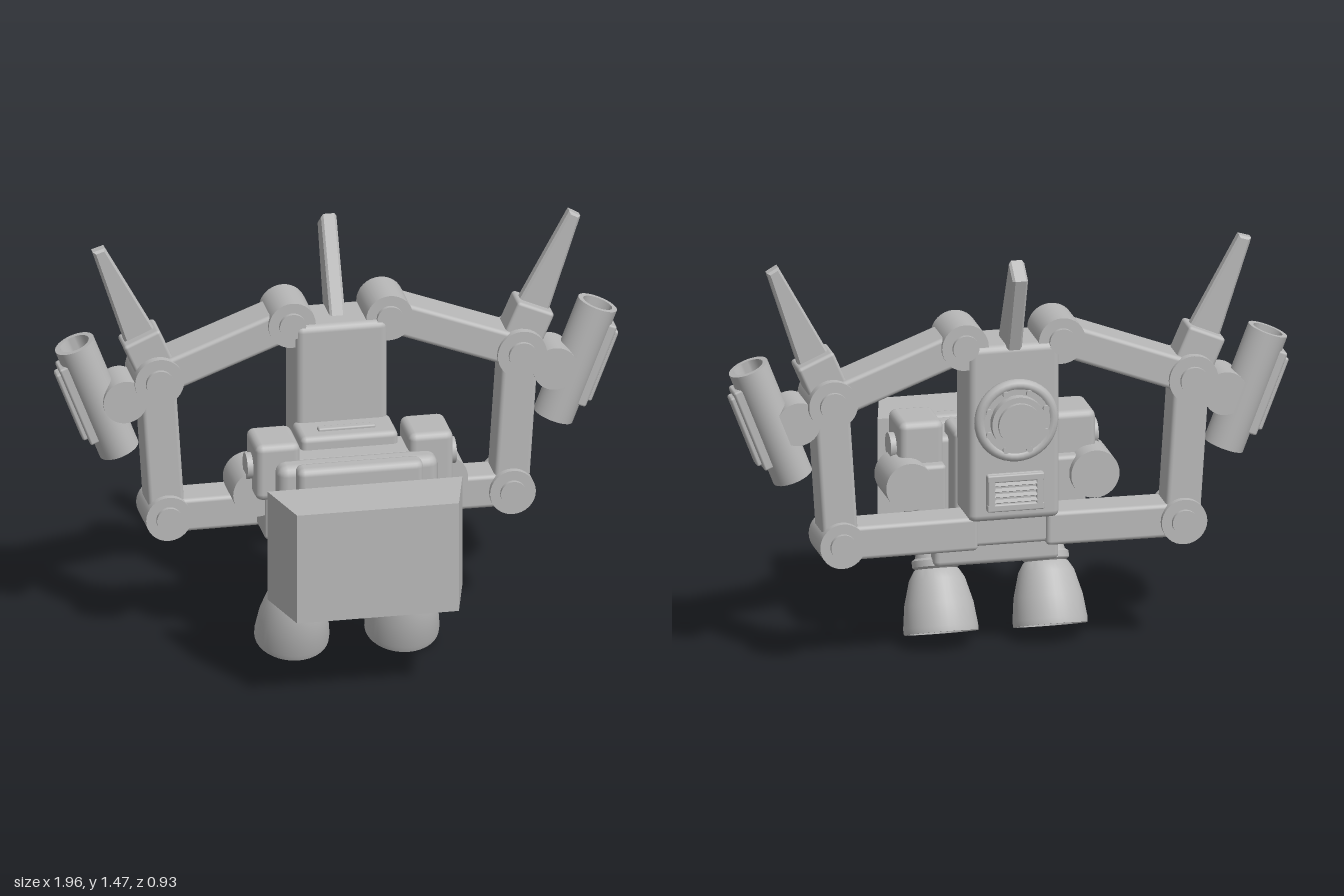
import * as THREE from 'three';
import { toCreasedNormals } from 'three/addons/utils/BufferGeometryUtils.js';
import { RoundedBoxGeometry } from 'three/addons/geometries/RoundedBoxGeometry.js';

const grey = new THREE.MeshStandardMaterial({ color: 0xb8b8b8 });
grey.name = 'plain grey';

const ARM_Z = -0.265;

function add(parent, name, geometry, x = 0, y = 0, z = 0) {
  const mesh = new THREE.Mesh(geometry, grey);
  mesh.name = name;
  mesh.position.set(x, y, z);
  parent.add(mesh);
  return mesh;
}

// Box given by its extents, with softened edges
function block(parent, name, [x0, x1], [y0, y1], [z0, z1], r = 0.015) {
  const geometry = new RoundedBoxGeometry(x1 - x0, y1 - y0, z1 - z0, 2, r);
  return add(parent, name, geometry, (x0 + x1) / 2, (y0 + y1) / 2, (z0 + z1) / 2);
}

// Cylinder lying along z
function disc(parent, name, x, y, z0, z1, r) {
  const geometry = new THREE.CylinderGeometry(r, r, z1 - z0, 32).rotateX(Math.PI / 2);
  return add(parent, name, geometry, x, y, (z0 + z1) / 2);
}

// Pivot drum with a smaller cap at both ends
function joint(parent, name, x, y, r) {
  disc(parent, name, x, y, ARM_Z - 0.088, ARM_Z + 0.088, r);
  disc(parent, name + 'Cap', x, y, ARM_Z - 0.102, ARM_Z + 0.102, r * 0.56);
}

// Bevelled beam between two points in the arm plane
function beam(parent, name, [x0, y0], [x1, y1], width, depth) {
  const length = Math.hypot(x1 - x0, y1 - y0);
  const mesh = add(parent, name, new RoundedBoxGeometry(length, width, depth, 2, 0.015),
    (x0 + x1) / 2, (y0 + y1) / 2, ARM_Z);
  mesh.rotation.z = Math.atan2(y1 - y0, x1 - x0);
}

// Thin bevelled plate cut from an outline
function plate(points, thickness) {
  const shape = new THREE.Shape(points.map(([x, y]) => new THREE.Vector2(x, y)));
  return new THREE.ExtrudeGeometry(shape, {
    depth: thickness - 0.016, bevelEnabled: true, bevelThickness: 0.008,
    bevelSize: 0.008, bevelOffset: -0.008, bevelSegments: 1,
  }).translate(0, 0, -thickness / 2 + 0.008);
}

function lathe(points) {
  const profile = points.map(([r, h]) => new THREE.Vector2(r, h));
  return toCreasedNormals(new THREE.LatheGeometry(profile, 36), 0.6);
}

function buildSide(s) {
  const side = new THREE.Group();
  side.name = s > 0 ? 'leftSide' : 'rightSide';
  const span = (a, b) => (s > 0 ? [a, b] : [-b, -a]);

  // Shoulder pod, button, strap slab and canister
  block(side, 'pod', span(0.19, 0.345), [0.62, 0.825], [-0.12, 0.07], 0.025);
  const button = add(side, 'podButton', new THREE.CylinderGeometry(0.046, 0.046, 0.03, 28), s * 0.35, 0.72, -0.025);
  button.rotation.z = Math.PI / 2;
  block(side, 'strapSlab', span(0.19, 0.3), [0.445, 0.68], [-0.16, 0.0]);
  disc(side, 'canister', s * 0.325, 0.618, -0.19, -0.01, 0.085);

  // Folding arm: lower beam, upright beam, upper beam and pivots
  const p = { root: [s * 0.12, 0.48], low: [s * 0.6, 0.477], elbow: [s * 0.633, 0.985], top: [s * 0.17, 1.16] };
  beam(side, 'lowerArm', p.root, p.low, 0.12, 0.14);
  beam(side, 'uprightArm', p.low, p.elbow, 0.125, 0.13);
  beam(side, 'upperArm', p.elbow, p.top, 0.118, 0.15);
  joint(side, 'lowerJoint', ...p.low, 0.08);
  joint(side, 'elbowJoint', ...p.elbow, 0.086);
  joint(side, 'topJoint', ...p.top, 0.082);

  // Side fin in its socket
  const fin = new THREE.Group();
  fin.name = 'sideFin';
  fin.position.set(s * 0.65, 1.05, ARM_Z);
  fin.rotation.z = -s * 0.41;
  side.add(fin);
  add(fin, 'finSocket', new RoundedBoxGeometry(0.138, 0.15, 0.12, 2, 0.012), 0, 0.025, 0);
  add(fin, 'finBlade', plate([[-0.065, 0], [0.065, 0], [0.022, 0.45], [-0.022, 0.455]], 0.045));

  // Tube launcher with outer rail and mounting drum
  disc(side, 'launcherMount', s * 0.75, 0.92, ARM_Z - 0.065, ARM_Z + 0.08, 0.077);
  const tube = new THREE.Group();
  tube.name = 'launcher';
  tube.position.set(s * 0.835, 0.918, ARM_Z);
  tube.rotation.z = -s * 0.37;
  side.add(tube);
  add(tube, 'launcherTube', lathe([[0, -0.19], [0.055, -0.19], [0.055, -0.216], [0.071, -0.216],
    [0.071, 0.216], [0.053, 0.216], [0.053, 0.05], [0, 0.05]]));
  add(tube, 'railBase', new RoundedBoxGeometry(0.04, 0.31, 0.09, 1, 0.008), s * 0.066, 0.01, 0);
  add(tube, 'railCover', new RoundedBoxGeometry(0.03, 0.27, 0.058, 1, 0.008), s * 0.088, 0.01, 0);

  // Thruster with open bell and ringed neck
  const thruster = add(side, 'thruster', lathe([[0, 0.2], [0.065, 0.19], [0.1, 0.1], [0.116, 0],
    [0.128, 0], [0.129, 0.02], [0.119, 0.1], [0.096, 0.185], [0.078, 0.215], [0.072, 0.22],
    [0.082, 0.228], [0.082, 0.25], [0.07, 0.258], [0.066, 0.275], [0.074, 0.283], [0.074, 0.3],
    [0.055, 0.31], [0.055, 0.335], [0.07, 0.35], [0.07, 0.385], [0.05, 0.405], [0, 0.41]]), s * 0.192, 0.052, -0.082);
  thruster.rotation.x = 0.35;
  return side;
}

export function createModel() {
  const model = new THREE.Group();
  model.name = 'mechanicalBackpack';

  // Tapered block floating in front
  const screen = new THREE.BoxGeometry(0.68, 0.4, 0.228);
  const pos = screen.attributes.position;
  for (let i = 0; i < pos.count; i++) if (pos.getZ(i) > 0) pos.setX(i, pos.getX(i) * 0.83);
  screen.computeVertexNormals();
  add(model, 'frontBlock', screen, 0, 0.53, 0.352);

  // Stepped pack body
  block(model, 'bodyFront', [-0.22, 0.22], [0.3, 0.77], [0.1, 0.178], 0.025);
  block(model, 'bodyMain', [-0.28, 0.28], [0.285, 0.765], [0.04, 0.135], 0.035);
  block(model, 'bodyBack', [-0.22, 0.22], [0.29, 0.76], [-0.1, 0.07], 0.02);
  block(model, 'bodyBridge', [-0.17, 0.17], [0.44, 0.805], [-0.19, -0.02], 0.02);
  block(model, 'bridgeSlot', [-0.1, 0.1], [0.79, 0.815], [-0.1, -0.07], 0.006);

  // Spine tower
  block(model, 'tower', [-0.16, 0.16], [0.53, 1.16], [-0.365, -0.155], 0.025);
  block(model, 'towerFoot', [-0.14, 0.14], [0.43, 0.56], [-0.32, -0.15]);
  const fin = plate([[0.215, 1.12], [0.355, 1.12], [0.46, 1.42], [0.39, 1.475]], 0.054);
  add(model, 'towerFin', fin).rotation.y = Math.PI / 2;

  // Round hatch on the back
  disc(model, 'hatchFlange', 0, 0.9, -0.405, -0.35, 0.135);
  add(model, 'hatchRim', new THREE.TorusGeometry(0.128, 0.02, 12, 40), 0, 0.9, -0.39);
  disc(model, 'hatchHub', 0, 0.9, -0.435, -0.38, 0.095);
  disc(model, 'hatchCap', 0, 0.9, -0.45, -0.42, 0.075);
  for (let i = 0; i < 8; i++) {
    const a = (i + 0.5) * Math.PI / 4;
    disc(model, 'hatchBolt', 0.108 * Math.cos(a), 0.9 + 0.108 * Math.sin(a), -0.417, -0.4, 0.011);
  }

  // Slatted vent below the hatch
  block(model, 'ventPlate', [-0.1, 0.1], [0.57, 0.705], [-0.376, -0.35], 0.008);
  for (const y of [0.585, 0.69]) block(model, 'ventFrame', [-0.1, 0.1], [y - 0.013, y + 0.013], [-0.388, -0.365], 0.005);
  for (const x of [-0.085, 0.085]) block(model, 'ventFrame', [x - 0.013, x + 0.013], [0.572, 0.703], [-0.388, -0.365], 0.005);
  for (let i = 0; i < 4; i++) {
    const slat = add(model, 'ventSlat', new THREE.BoxGeometry(0.15, 0.012, 0.016), 0, 0.608 + i * 0.02, -0.379);
    slat.rotation.x = 0.4;
  }

  for (const s of [1, -1]) model.add(buildSide(s));
  return model;
}
